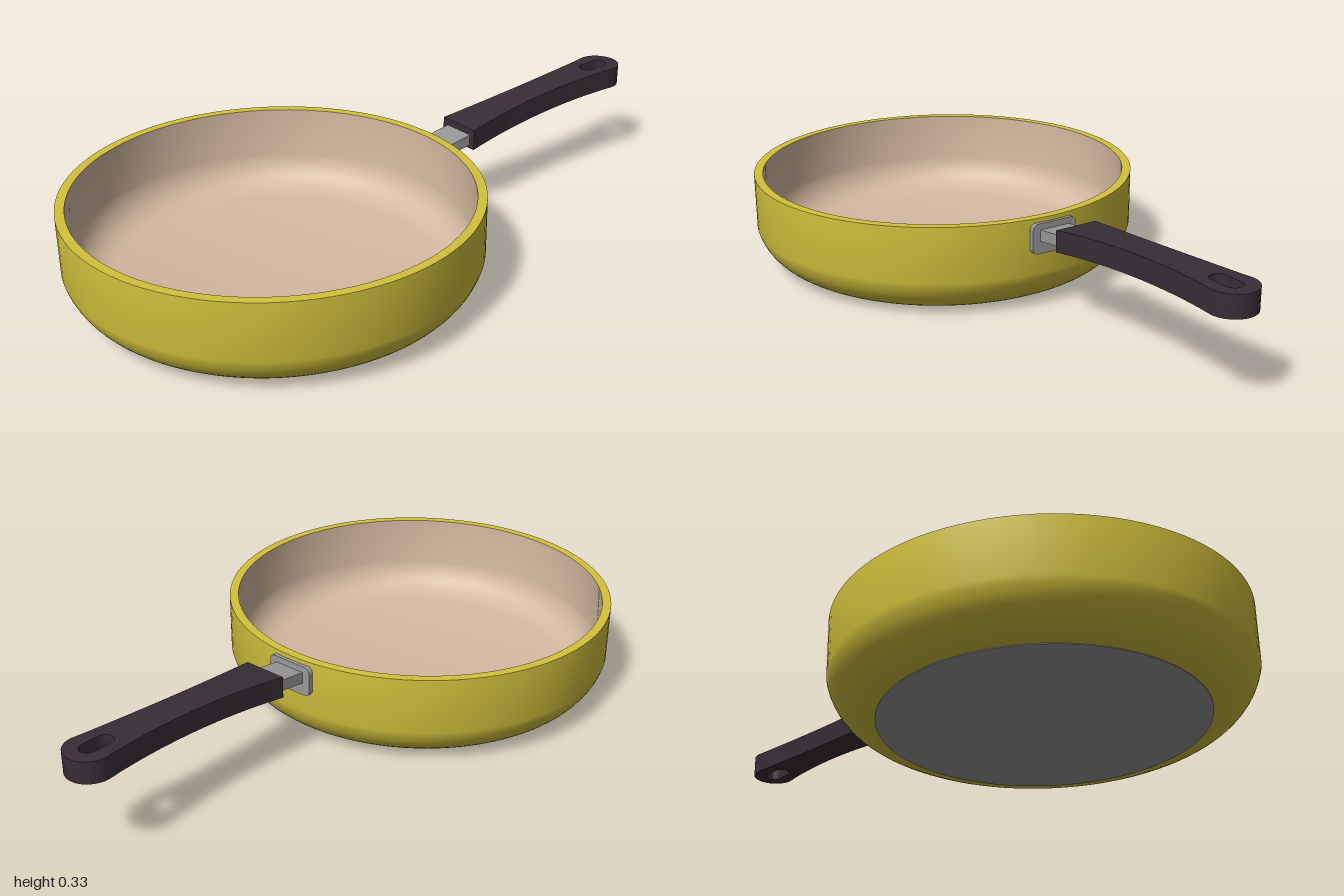
import * as THREE from 'three';
import { toCreasedNormals } from 'three/addons/utils/BufferGeometryUtils.js';

const PAN_Z = 0.405;          // centre of the pan
const GRIP_T = 0.065;         // grip thickness
const SPLIT = -0.84;          // where the grip meets its rounded end

// grip half width and centre height along z
const halfWidth = z => 0.05 + 0.018 * ((z + 0.62) / 0.32) ** 2;
const gripY = z => {
  const t = (-0.3 - z) / 0.7;
  return 0.254 + 0.041 * (1 - (1 - t) ** 2);
};

function moveVertices(geo, rule) {
  const p = geo.attributes.position, v = new THREE.Vector3();
  for (let i = 0; i < p.count; i++) {
    rule(v.fromBufferAttribute(p, i));
    p.setXYZ(i, v.x, v.y, v.z);
  }
  return toCreasedNormals(geo, 0.6);
}

const lathe = pts => toCreasedNormals(
  new THREE.LatheGeometry(pts.map(([x, y]) => new THREE.Vector2(x, y)), 96), 0.4);

// points of a curved wall foot, from the floor out to the wall
function foot(r0, y0, r1, y1, cr, cy, n = 10) {
  return new THREE.QuadraticBezierCurve(new THREE.Vector2(r0, y0),
    new THREE.Vector2(cr, cy), new THREE.Vector2(r1, y1))
    .getPoints(n).map(p => [p.x, p.y]);
}

export function createModel() {
  const model = new THREE.Group();
  const material = (name, color) => {
    const m = new THREE.MeshStandardMaterial({ color });
    m.name = name;
    return m;
  };
  const yellow = material('yellow enamel', 0xd2c23c);
  const beige = material('beige coating', 0xd4b9a1);
  const steel = material('steel', 0x999999);
  const dark = material('dark grip', 0x372e36);
  const add = (name, geo, mat, parent = model) => {
    const mesh = new THREE.Mesh(geo, mat);
    mesh.name = name;
    parent.add(mesh);
    return mesh;
  };

  // pan body: outside wall and rim, coated inside, steel base
  const pan = new THREE.Group();
  pan.name = 'pan';
  pan.position.z = PAN_Z;
  model.add(pan);
  add('outerWall', lathe([[0.455, 0.002], ...foot(0.485, 0.002, 0.595, 0.115, 0.574, 0.034),
    [0.595, 0.285], [0.568, 0.285]]), yellow, pan);
  add('innerCoating', lathe([[0.568, 0.285], [0.568, 0.13],
    ...foot(0.47, 0.03, 0.568, 0.13, 0.555, 0.045).reverse(), [0, 0.03]].reverse()
    .reverse()), beige, pan);
  add('basePlate', new THREE.CylinderGeometry(0.46, 0.46, 0.006, 96), steel, pan)
    .position.y = 0.003;

  // rounded bracket plate on the back of the wall
  const plate = new THREE.Shape();
  const w = 0.075, h = 0.046, r = 0.018;
  plate.absarc(w - r, h - r, r, 0, Math.PI / 2);
  plate.absarc(r - w, h - r, r, Math.PI / 2, Math.PI);
  plate.absarc(r - w, r - h, r, Math.PI, Math.PI * 1.5);
  plate.absarc(w - r, r - h, r, Math.PI * 1.5, Math.PI * 2);
  const bracket = new THREE.ExtrudeGeometry(plate,
    { depth: 0.019, bevelEnabled: false, curveSegments: 6 });
  add('bracket', bracket, steel).position.set(0, 0.226, -0.2);

  // neck between bracket and grip
  const neck = add('neck', new THREE.BoxGeometry(0.1, 0.034, 0.13), steel);
  neck.position.set(0, 0.243, -0.255);
  neck.rotation.x = 0.13;

  // grip: a waisted bar bent upwards
  const handle = new THREE.Group();
  handle.name = 'handle';
  model.add(handle);
  const bar = new THREE.BoxGeometry(2, GRIP_T, -0.3 - SPLIT, 1, 1, 18);
  bar.translate(0, 0, (SPLIT - 0.3) / 2);
  add('grip', moveVertices(bar, v => {
    v.x *= halfWidth(v.z);
    v.y += gripY(v.z);
  }), dark, handle);

  // rounded grip end with a hanging slot
  const end = new THREE.Shape();
  const a = halfWidth(SPLIT), R = 0.068;
  end.moveTo(-a, -SPLIT);
  end.lineTo(a, -SPLIT);
  end.lineTo(halfWidth(-0.89), 0.89);
  end.absarc(0, 1 - R, R, 0, Math.PI);
  end.lineTo(-halfWidth(-0.89), 0.89);
  const slot = new THREE.Path();
  slot.absarc(0, 0.934, 0.025, 0, Math.PI);
  slot.absarc(0, 0.881, 0.025, Math.PI, Math.PI * 2);
  end.holes.push(slot);
  const tip = new THREE.ExtrudeGeometry(end,
    { depth: GRIP_T, bevelEnabled: false, curveSegments: 16 });
  tip.rotateX(-Math.PI / 2).translate(0, -GRIP_T / 2, 0);
  add('gripEnd', moveVertices(tip, v => { v.y += gripY(v.z); }), dark, handle);

  return model;
}
